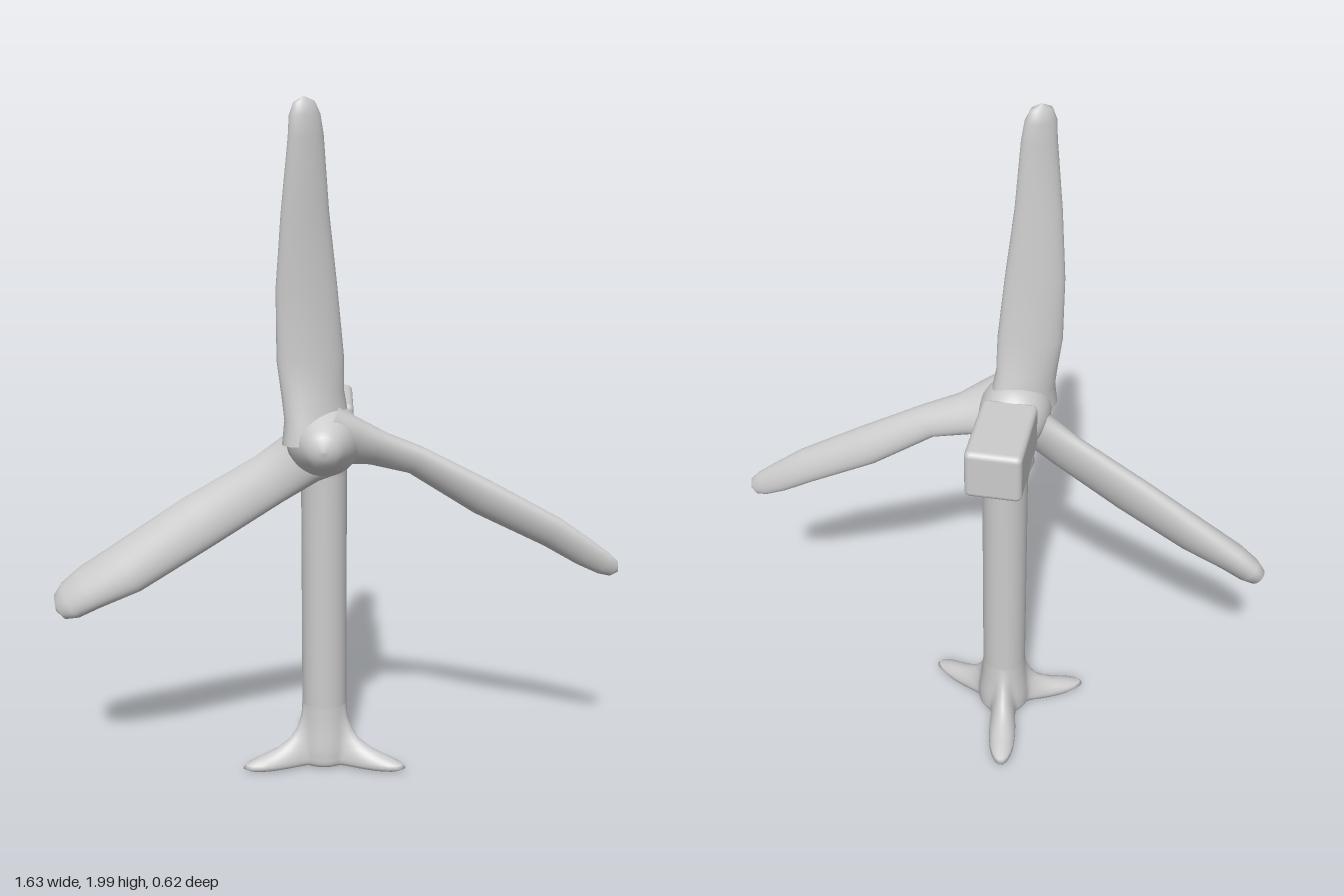
import * as THREE from 'three';
import { RoundedBoxGeometry } from 'three/addons/geometries/RoundedBoxGeometry.js';

const material = new THREE.MeshStandardMaterial({ color: 0xcccccc, roughness: 0.8 });
const AXIS = { x: -0.035, z: -0.017 };           // tower centre line
const HUB = new THREE.Vector2(-0.04, 1.07);      // rotor centre

// Skins a list of closed rings, each an array of Vector3
function loft(rings) {
  const n = rings[0].length;
  const index = [];
  for (let i = 0; i < rings.length - 1; i++) {
    for (let j = 0; j < n; j++) {
      const a = i * n + j, b = i * n + (j + 1) % n;
      index.push(a, b, a + n, b, b + n, a + n);
    }
  }
  const geometry = new THREE.BufferGeometry().setFromPoints(rings.flat());
  geometry.setIndex(index);
  geometry.computeVertexNormals();
  return geometry;
}

function lathe(points, segments = 48) {
  return new THREE.LatheGeometry(points.map(([r, y]) => new THREE.Vector2(r, y)), segments);
}

// Sections: [position 0..1, offset, half chord, z, half depth]
function bladeGeometry(tip, sections, twist) {
  const span = tip.clone().sub(HUB);
  const dir = span.clone().normalize();
  const side = new THREE.Vector2(-dir.y, dir.x);
  const rings = sections.map(([t, offset, chord, z, depth]) => {
    const ring = [];
    for (let j = 0; j < 32; j++) {
      const a = (j / 32) * Math.PI * 2;
      const w = offset + chord * Math.cos(a);
      ring.push(new THREE.Vector3(
        HUB.x + span.x * t + side.x * w,
        HUB.y + span.y * t + side.y * w,
        z + depth * Math.sin(a + twist)));
    }
    return ring;
  });
  return loft(rings);
}

// Three-toed foot that swells out of the tower
function footGeometry() {
  const toes = [[-0.045, -0.293], [0.235, 0.1], [-0.235, 0.1]]
    .map(([x, z]) => ({ angle: Math.atan2(x, z), reach: Math.hypot(x, z) - 0.067 }));
  // [height, core radius, toe spread]
  const levels = [[0.008, 0.001, 0], [0.008, 0.06, 0.6], [0.013, 0.075, 0.9], [0.023, 0.08, 0.98],
    [0.034, 0.08, 0.93], [0.048, 0.08, 0.7], [0.065, 0.08, 0.42], [0.09, 0.077, 0.2],
    [0.12, 0.073, 0.09], [0.16, 0.069, 0.02], [0.2, 0.067, 0]];
  return loft(levels.map(([y, core, spread]) => {
    const ring = [];
    for (let j = 0; j < 144; j++) {
      const a = (j / 144) * Math.PI * 2;
      let r = core;
      for (const { angle, reach } of toes) {
        const d = Math.atan2(Math.sin(a - angle), Math.cos(a - angle));
        r += spread * reach * Math.exp(-((d / 0.26) ** 2));
      }
      ring.push(new THREE.Vector3(r * Math.sin(a), y, r * Math.cos(a)));
    }
    return ring;
  }));
}

export function createModel() {
  const model = new THREE.Group();
  model.name = 'windTurbine';
  const add = (name, geometry, x = 0, y = 0, z = 0) => {
    const mesh = new THREE.Mesh(geometry, material);
    mesh.name = name;
    mesh.position.set(x, y, z);
    model.add(mesh);
    return mesh;
  };

  // Support
  add('foot', footGeometry(), AXIS.x, 0, AXIS.z);
  add('tower', lathe([[0.067, 0.19], [0.067, 0.6], [0.067, 0.92], [0.07, 0.95],
    [0.077, 0.975], [0.085, 0.995], [0.08, 1.02]]), AXIS.x, 0, AXIS.z);

  // Machine housing
  add('nacelle', new RoundedBoxGeometry(0.165, 0.155, 0.275, 4, 0.018), -0.033, 1.067, -0.067);

  // Hub with a rounded nose
  const hub = lathe([[0.06, 0.04], [0.085, 0.06], [0.1, 0.09], [0.107, 0.13], [0.104, 0.17],
    [0.092, 0.205], [0.073, 0.24], [0.055, 0.27], [0.04, 0.287], [0.02, 0.297], [0, 0.3]]);
  hub.rotateX(Math.PI / 2);
  add('hub', hub, -0.035, 1.065, 0);

  // Blades
  add('topBlade', bladeGeometry(new THREE.Vector2(-0.085, 2.0), [
    [0, 0.01, 0.1, 0.16, 0.09], [0.07, 0.012, 0.088, 0.162, 0.078], [0.14, 0.018, 0.086, 0.163, 0.06],
    [0.25, 0.02, 0.092, 0.17, 0.044], [0.46, 0.02, 0.083, 0.18, 0.037], [0.68, 0.013, 0.064, 0.2, 0.036],
    [0.89, 0, 0.047, 0.211, 0.036], [0.95, 0, 0.041, 0.213, 0.034], [0.985, 0, 0.028, 0.214, 0.024],
    [1, 0, 0.001, 0.214, 0.001]], 0.45));
  add('leftBlade', bladeGeometry(new THREE.Vector2(0.812, 0.66), [
    [0, 0.01, 0.095, 0.15, 0.09], [0.09, 0.022, 0.076, 0.142, 0.07], [0.167, 0.035, 0.056, 0.133, 0.05],
    [0.286, 0.05, 0.046, 0.127, 0.039], [0.52, 0.032, 0.056, 0.118, 0.041], [0.76, 0.024, 0.05, 0.113, 0.037],
    [0.88, 0.01, 0.044, 0.113, 0.028], [0.95, 0.004, 0.036, 0.114, 0.022], [0.985, 0.002, 0.025, 0.115, 0.015],
    [1, 0, 0.001, 0.115, 0.001]], 0.45));
  add('rightBlade', bladeGeometry(new THREE.Vector2(-0.812, 0.543), [
    [0, 0.01, 0.095, 0.15, 0.09], [0.08, 0.018, 0.076, 0.14, 0.062], [0.21, 0.02, 0.073, 0.13, 0.042],
    [0.47, 0.012, 0.078, 0.122, 0.047], [0.73, 0.008, 0.073, 0.125, 0.058], [0.865, -0.004, 0.061, 0.123, 0.06],
    [0.94, -0.004, 0.052, 0.12, 0.054], [0.98, -0.003, 0.036, 0.118, 0.038], [1, 0, 0.001, 0.117, 0.001]], 0.45));

  return model;
}
